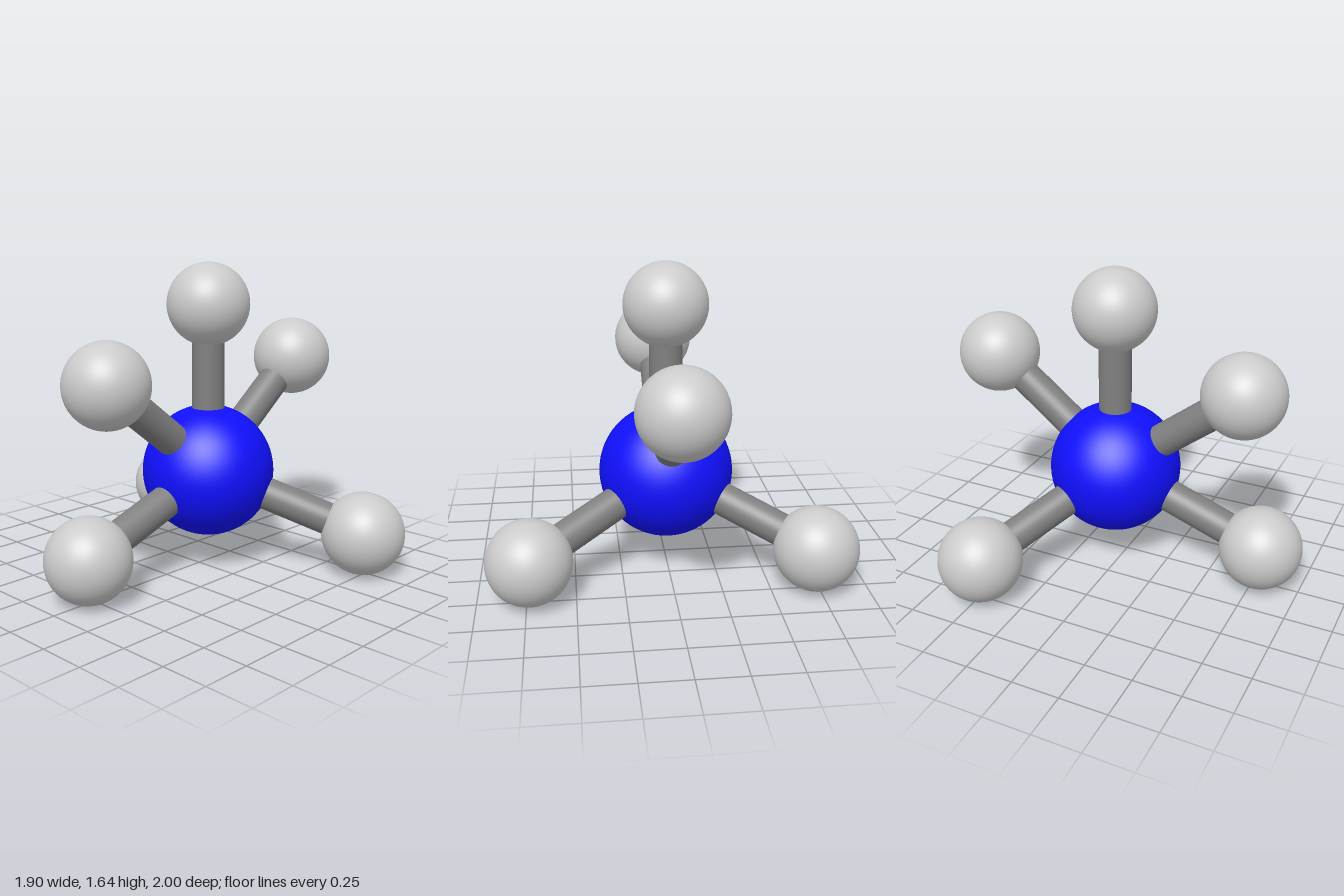
import * as THREE from 'three';

const CENTRE = new THREE.Vector3(0, 0.522, -0.07);
const CENTRE_RADIUS = 0.355;
const OUTER_RADIUS = 0.22;
const ROD_RADIUS = 0.087;

// Outer ball positions
const OUTER = {
  top: [0, 1.42, -0.07],
  upperFront: [0, 1.073, 0.643],
  upperBack: [0, 1.073, -0.78],
  lowerFront: [0, 0.224, 0.78],
  lowerLeft: [0.73, 0.224, -0.495],
  lowerRight: [-0.73, 0.224, -0.495],
};

export function createModel() {
  const group = new THREE.Group();
  group.name = 'ballAndStickModel';

  const blue = new THREE.MeshStandardMaterial({ color: 0x1010ff });
  const lightGrey = new THREE.MeshStandardMaterial({ color: 0xcccccc });
  const darkGrey = new THREE.MeshStandardMaterial({ color: 0x808080 });

  const ball = (name, radius, position, material) => {
    const mesh = new THREE.Mesh(new THREE.SphereGeometry(radius, 64, 40), material);
    mesh.name = name;
    mesh.position.copy(position);
    group.add(mesh);
  };

  // Rod joining two points, its ends hidden inside the balls
  const rod = (name, from, to) => {
    const dir = to.clone().sub(from);
    const mesh = new THREE.Mesh(
      new THREE.CylinderGeometry(ROD_RADIUS, ROD_RADIUS, dir.length(), 40), darkGrey);
    mesh.name = name;
    mesh.position.copy(from).addScaledVector(dir, 0.5);
    mesh.quaternion.setFromUnitVectors(new THREE.Vector3(0, 1, 0), dir.normalize());
    group.add(mesh);
  };

  ball('centreBall', CENTRE_RADIUS, CENTRE, blue);
  for (const [name, xyz] of Object.entries(OUTER)) {
    const position = new THREE.Vector3(...xyz);
    ball(name + 'Ball', OUTER_RADIUS, position, lightGrey);
    rod(name + 'Rod', CENTRE, position);
  }
  return group;
}
